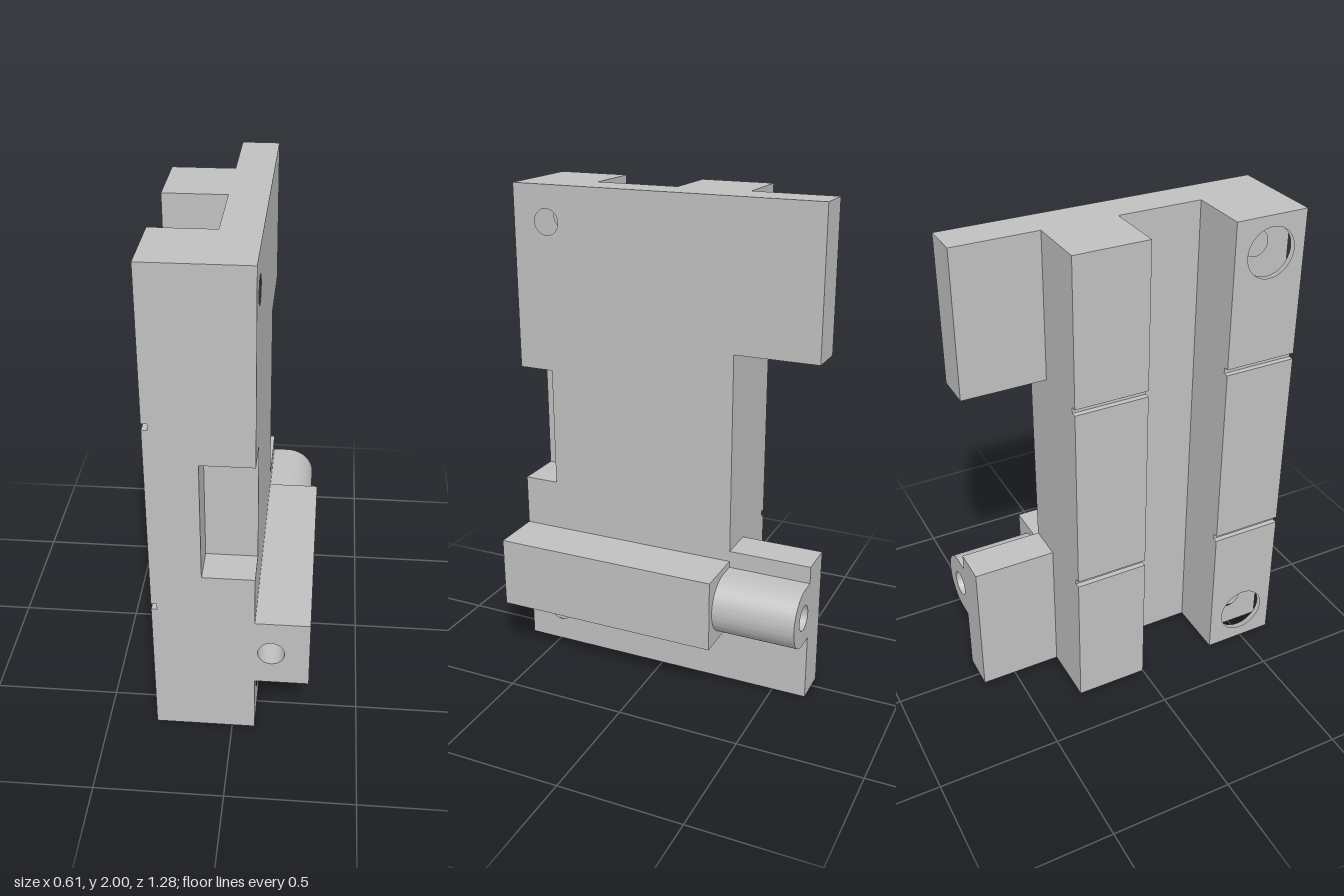
import * as THREE from 'three';
import { toCreasedNormals } from 'three/addons/utils/BufferGeometryUtils.js';

const grey = new THREE.MeshStandardMaterial({ color: 0xc0c0c0 });
grey.name = 'plain grey';

const rect = (a0, a1, b0, b1) => [[a0, b0], [a1, b0], [a1, b1], [a0, b1]];

// Extrudes an outline with round holes [a, b, radius]
function extrude(shape, holes, depth) {
  for (const [a, b, r] of holes) shape.holes.push(new THREE.Path().absarc(a, b, r, 0, Math.PI * 2, true));
  const geometry = new THREE.ExtrudeGeometry(shape, { depth, bevelEnabled: false, curveSegments: 24 });
  return toCreasedNormals(geometry, 0.6);
}

function addMesh(parent, name, geometry) {
  const mesh = new THREE.Mesh(geometry, grey);
  mesh.name = name;
  parent.add(mesh);
}

// Layer with a (z, y) outline, running from x0 to x1
function sideLayer(parent, name, x0, x1, points, holes = []) {
  const shape = new THREE.Shape(points.map(([z, y]) => new THREE.Vector2(-z, y)));
  const geometry = extrude(shape, holes.map(([z, y, r]) => [-z, y, r]), x1 - x0);
  addMesh(parent, name, geometry.rotateY(Math.PI / 2).translate(x0, 0, 0));
}

export function createModel() {
  const model = new THREE.Group();
  model.name = 'bracket';
  const bolts = (r) => [[0.495, 0.15, r], [0.495, 1.855, r]];
  const pocket = [[0.64, 0.755], [0.495, 0.755], [0.495, 1.25], [0.64, 1.25]];

  // Main plate with the rear cut-out and front pocket
  sideLayer(model, 'plate', -0.06, 0.09, [
    [0.64, 0], ...pocket, [0.64, 2], [-0.64, 2], [-0.64, 1.41],
    [-0.3, 1.41], [-0.3, 0.59], [-0.64, 0.59], [-0.64, 0],
  ].slice(), bolts(0.052));

  // Front rail: pocket layer, bolt layer and counterbored layer
  const frontRail = new THREE.Group();
  frontRail.name = 'frontRail';
  const front = rect(0.34, 0.64, 0, 2);
  sideLayer(frontRail, 'pocketLayer', -0.11, -0.06,
    [[0.34, 0], [0.64, 0], ...pocket, [0.64, 2], [0.34, 2]], bolts(0.052));
  sideLayer(frontRail, 'boltLayer', -0.205, -0.11, front, bolts(0.052));
  sideLayer(frontRail, 'counterboreLayer', -0.283, -0.205, front, bolts(0.1));

  // Rear rail
  const rearRail = new THREE.Group();
  rearRail.name = 'rearRail';
  sideLayer(rearRail, 'railCore', -0.283, -0.06, rect(-0.3, 0, 0, 2));

  // Outer pads of both rails, parted by two thin grooves
  for (const [y0, y1] of [[0, 0.59], [0.615, 1.385], [1.41, 2]]) {
    const holes = bolts(0.1).filter(([, y]) => y > y0 && y < y1);
    sideLayer(frontRail, 'outerPad', -0.305, -0.283, rect(0.34, 0.64, y0, y1), holes);
    sideLayer(rearRail, 'outerPad', -0.305, -0.283, rect(-0.3, 0, y0, y1));
  }
  model.add(frontRail, rearRail);

  // Side block and rounded boss sharing one long bore
  const bore = [[0.153, 0.397, 0.052]];
  const block = new THREE.Shape(rect(0.09, 0.302, 0.25, 0.545).map(([x, y]) => new THREE.Vector2(x, y)));
  addMesh(model, 'sideBlock', extrude(block, bore, 0.94).translate(0, 0, -0.3));
  const boss = new THREE.Shape();
  boss.moveTo(0.09, 0.275);
  boss.lineTo(0.153, 0.275);
  boss.absarc(0.153, 0.397, 0.122, -Math.PI / 2, Math.PI / 2, false);
  boss.lineTo(0.09, 0.519);
  boss.closePath();
  addMesh(model, 'boss', extrude(boss, bore, 0.34).translate(0, 0, -0.64));

  return model;
}
